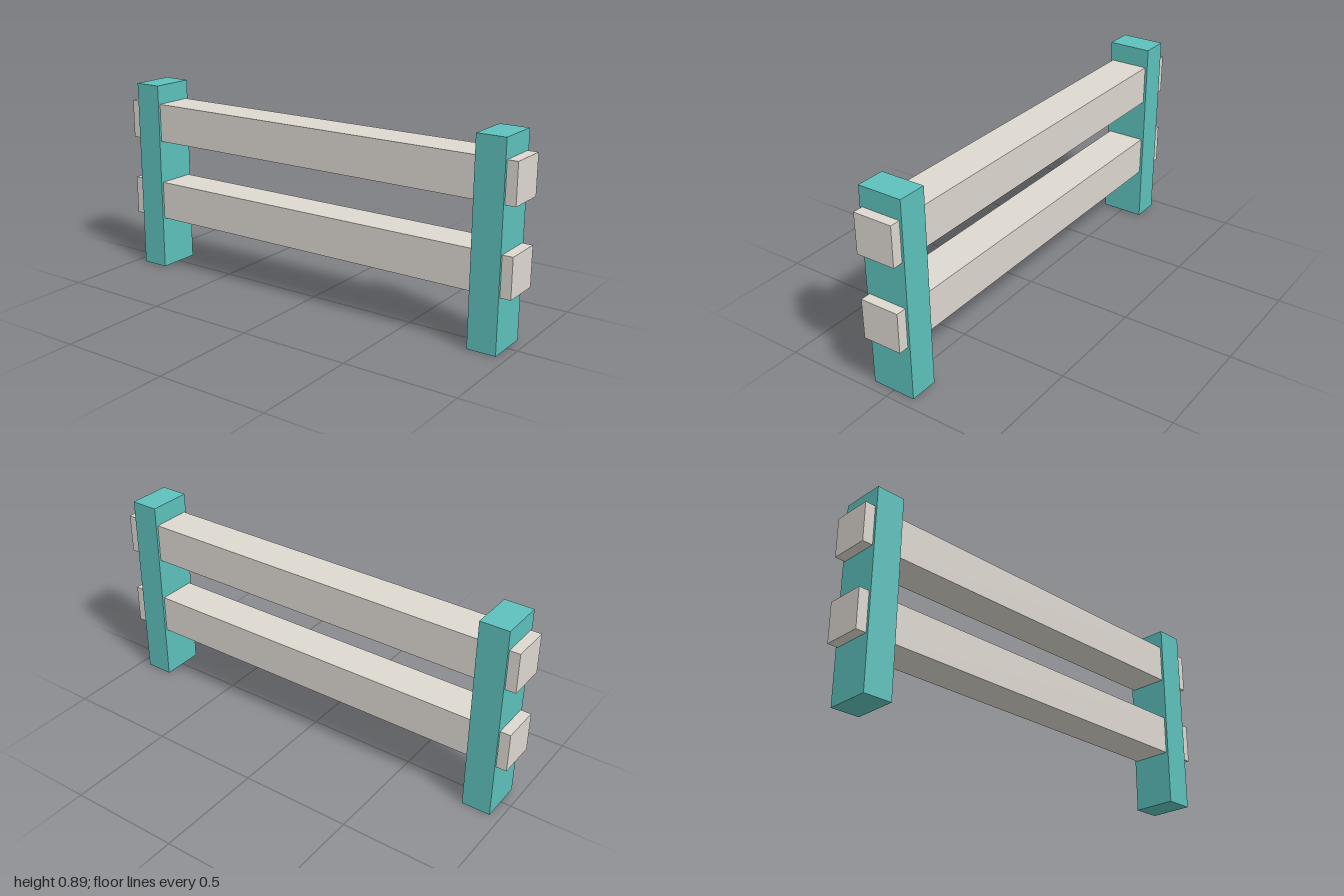
import * as THREE from 'three';

export function createModel() {
  const group = new THREE.Group();
  const teal = new THREE.MeshStandardMaterial({ color: 0x5ec1bc });
  const beige = new THREE.MeshStandardMaterial({ color: 0xddd8d0 });

  const addBox = (name, material, size, position) => {
    const mesh = new THREE.Mesh(new THREE.BoxGeometry(...size), material);
    mesh.name = name;
    mesh.position.set(...position);
    group.add(mesh);
  };

  // Upright posts, mirrored left and right
  const postHeight = 0.889;
  for (const [name, side] of [['leftPost', 1], ['rightPost', -1]]) {
    addBox(name, teal, [0.129, postHeight, 0.2], [side * 0.889, postHeight / 2, 0]);
  }

  // Square rails running through both posts
  for (const [name, y] of [['lowerRail', 0.334], ['upperRail', 0.712]]) {
    addBox(name, beige, [2, 0.178, 0.178], [0, y, 0]);
  }

  return group;
}
